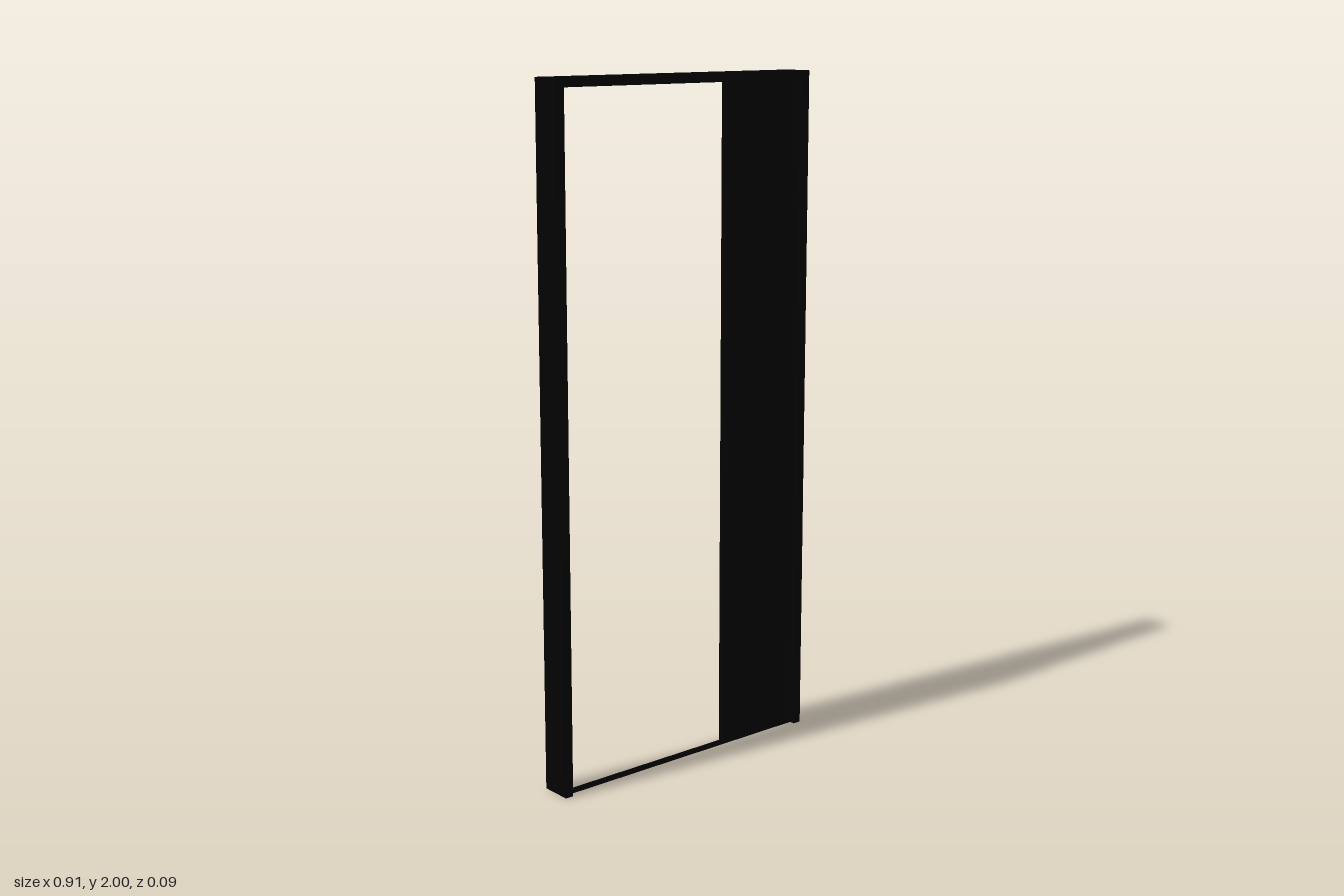
import * as THREE from 'three';

export function createModel() {
  const model = new THREE.Group();
  const black = new THREE.MeshStandardMaterial({ color: 0x020202 });

  const add = (name, geometry, x = 0, y = 0, z = 0) => {
    const mesh = new THREE.Mesh(geometry, black);
    mesh.name = name;
    mesh.position.set(x, y, z);
    model.add(mesh);
    return mesh;
  };

  // Door frame: two jambs and a header in one extruded outline
  const W = 0.455, H = 2, T = 0.025, D = 0.094;
  const outline = new THREE.Shape([
    [-W, 0], [-W + T, 0], [-W + T, H - T], [W - T, H - T],
    [W - T, 0], [W, 0], [W, H], [-W, H],
  ].map(([x, y]) => new THREE.Vector2(x, y)));
  add('doorFrame', new THREE.ExtrudeGeometry(outline, { depth: D, bevelEnabled: false }), 0, 0, -D / 2);

  // Sliding panel, standing partly open against the left jamb
  const panelZ = 0.018, panelT = 0.025, edge = 0.155;
  const panelW = W - T - edge;
  add('slidingPanel', new THREE.BoxGeometry(panelW, H - T, panelT), edge + panelW / 2, (H - T) / 2, panelZ);

  // Thin guide rail on the floor
  add('floorRail', new THREE.BoxGeometry(2 * (W - T), 0.004, panelT), 0, 0.002, panelZ);

  // Long pull handle on the back of the panel, with two standoffs
  const handleX = 0.268, handleZ = -0.031, low = 0.28, high = 1.7;
  add('handleBar', new THREE.CylinderGeometry(0.016, 0.016, high - low, 24), handleX, (low + high) / 2, handleZ);
  const reach = panelZ - panelT / 2 - handleZ;
  for (const y of [low + 0.12, high - 0.12]) {
    const post = add('handlePost', new THREE.CylinderGeometry(0.009, 0.009, reach, 16), handleX, y, handleZ + reach / 2);
    post.rotation.x = Math.PI / 2;
  }

  return model;
}
